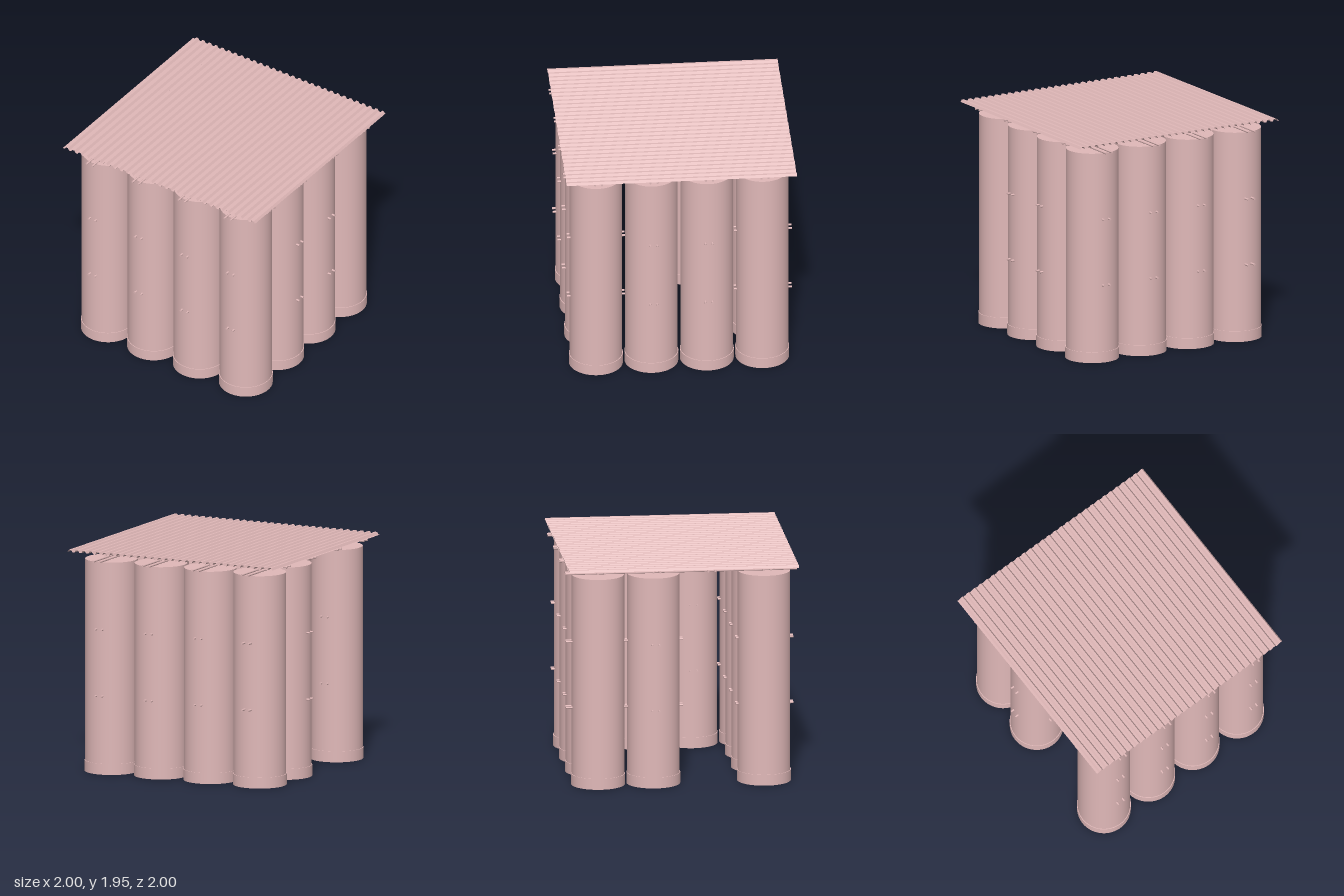
import * as THREE from 'three';

export function createModel() {
  const model = new THREE.Group();
  const pink = new THREE.MeshStandardMaterial({ color: 0xe0b8b8 });
  const sheetMat = new THREE.MeshStandardMaterial({ color: 0xe0b8b8, side: THREE.DoubleSide });
  const grid = [-0.717, -0.239, 0.239, 0.717];
  const ROD = 0.009;

  function add(name, geometry, x, y, z, parent = model, material = pink) {
    const mesh = new THREE.Mesh(geometry, material);
    mesh.name = name;
    mesh.position.set(x, y, z);
    parent.add(mesh);
    return mesh;
  }

  // Pair of parallel rods running along an axis, from a to b, either side of the centre line
  function rodPair(name, axis, a, b, across, y) {
    for (const side of [-0.03, 0.03]) {
      const geo = new THREE.CylinderGeometry(ROD, ROD, b - a, 12);
      const mid = (a + b) / 2;
      if (axis === 'x') add(name, geo.rotateZ(Math.PI / 2), mid, y, across + side);
      else add(name, geo.rotateX(Math.PI / 2), across + side, y, mid);
    }
  }

  // Tube columns around the perimeter, with a doorway on one side
  const columnGeo = new THREE.CylinderGeometry(0.226, 0.226, 1.85, 64);
  const baseGeo = new THREE.CylinderGeometry(0.232, 0.232, 0.095, 64);
  grid.forEach((x, i) => grid.forEach((z, j) => {
    const edgeX = i === 0 || i === 3;
    const edgeZ = j === 0 || j === 3;
    const doorway = i === 0 && j === 2;
    if (!(edgeX || edgeZ) || doorway) return;
    const column = new THREE.Group();
    column.name = 'columnAssembly';
    column.position.set(x, 0, z);
    add('column', columnGeo, 0, 0.927, 0, column);
    add('columnBase', baseGeo, 0, 0.0475, 0, column);
    model.add(column);

    // Two levels of tie rods through each column, facing outward
    for (const y of [0.683, 1.265]) {
      if (i === 0 && j === 0) rodPair('longTieRod', 'z', -0.995, 0.015, x, y);
      else if (edgeZ) rodPair('tieRod', 'z', z > 0 ? 0.47 : -0.97, z > 0 ? 0.97 : -0.47, x, y);
      else rodPair('tieRod', 'x', x > 0 ? 0.47 : -0.97, x > 0 ? 0.97 : -0.47, z, y);
    }
  }));

  // Roof frame: lower rods, short spacers, upper rods and pins at the crossings
  const pinGeo = new THREE.CylinderGeometry(0.01, 0.01, 0.076, 12);
  for (const p of grid) {
    rodPair('lowerRoofRod', 'z', -1, 1, p, 1.864);
    rodPair('upperRoofRod', 'x', -1, 1, p, 1.918);
    for (const z of grid) {
      rodPair('roofSpacer', 'z', z - 0.06, z + 0.06, p, 1.889);
      if (z < 0.5) add('roofPin', pinGeo, p, 1.891, z);
    }
  }

  // Corrugated roof sheet: one trapezoid wave repeated across x
  const waves = 30, low = 1.927, high = 1.947, depth = 0.992;
  const wave = [[0, low], [0.3, low], [0.5, high], [0.8, high]];
  const profile = [];
  for (let w = 0; w < waves; w++) {
    for (const [t, y] of wave) profile.push([-1 + (2 * (w + t)) / waves, y]);
  }
  profile.push([1, low]);
  const positions = [];
  for (let k = 0; k < profile.length - 1; k++) {
    const [x0, y0] = profile[k];
    const [x1, y1] = profile[k + 1];
    positions.push(x0, y0, -depth, x0, y0, depth, x1, y1, depth);
    positions.push(x0, y0, -depth, x1, y1, depth, x1, y1, -depth);
  }
  const sheet = new THREE.BufferGeometry();
  sheet.setAttribute('position', new THREE.Float32BufferAttribute(positions, 3));
  sheet.computeVertexNormals();
  add('corrugatedRoof', sheet, 0, 0, 0, model, sheetMat);

  return model;
}
